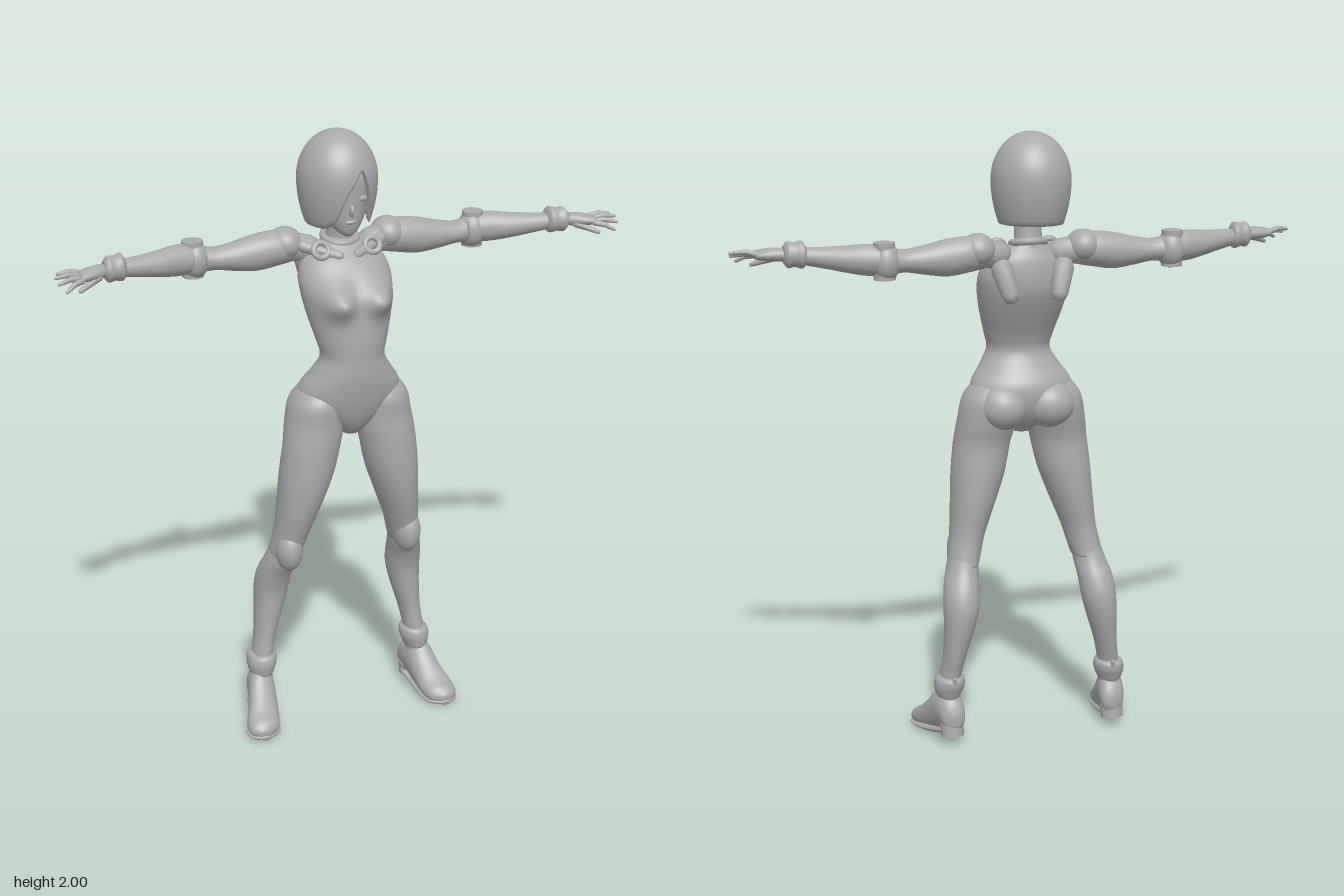
import * as THREE from 'three';

const grey = new THREE.MeshStandardMaterial({ color: 0xaaaaaa });
grey.name = 'plain grey';
grey.side = THREE.DoubleSide;

// Turns all faces outward by checking the signed volume
function orient(geo) {
  const p = geo.attributes.position, idx = geo.index.array;
  const a = new THREE.Vector3(), b = new THREE.Vector3(), c = new THREE.Vector3();
  geo.computeBoundingBox();
  const mid = geo.boundingBox.getCenter(new THREE.Vector3());
  let vol = 0;
  for (let i = 0; i < idx.length; i += 3) {
    a.fromBufferAttribute(p, idx[i]).sub(mid);
    b.fromBufferAttribute(p, idx[i + 1]).sub(mid);
    c.fromBufferAttribute(p, idx[i + 2]).sub(mid);
    vol += a.dot(b.cross(c));
  }
  if (vol < 0) for (let i = 0; i < idx.length; i += 3) [idx[i], idx[i + 1]] = [idx[i + 1], idx[i]];
  return geo;
}

// Builds a closed-around grid from point(u, v), with optional end caps
function grid(point, rows, segs, caps) {
  const pos = [], idx = [];
  for (let j = 0; j <= rows; j++)
    for (let i = 0; i < segs; i++) pos.push(...point(i / segs, j / rows));
  for (let j = 0; j < rows; j++)
    for (let i = 0; i < segs; i++) {
      const k = (i + 1) % segs, a = j * segs, b = a + segs;
      idx.push(a + i, b + i, a + k, a + k, b + i, b + k);
    }
  if (caps) for (const j of [0, rows]) {
    const m = pos.length / 3, sum = [0, 0, 0], o = j * segs;
    for (let i = 0; i < segs; i++) for (let d = 0; d < 3; d++) sum[d] += pos[(o + i) * 3 + d] / segs;
    pos.push(...sum);
    for (let i = 0; i < segs; i++) {
      const k = (i + 1) % segs;
      if (j) idx.push(o + i, m, o + k); else idx.push(o + i, o + k, m);
    }
  }
  const geo = new THREE.BufferGeometry();
  geo.setAttribute('position', new THREE.Float32BufferAttribute(pos, 3));
  geo.setIndex(idx);
  orient(geo).computeVertexNormals();
  return geo;
}

// Smooth loft of elliptical rings [x, y, z, r1, r2] across the given axis
function loft(axis, rings, segs = 28, warp) {
  const mids = new THREE.CatmullRomCurve3(rings.map(r => new THREE.Vector3(r[0], r[1], r[2])), false, 'catmullrom');
  const radii = new THREE.CatmullRomCurve3(rings.map(r => new THREE.Vector3(r[3], r[4], 0)), false, 'catmullrom');
  return grid((u, v) => {
    const c = mids.getPoint(v), r = radii.getPoint(v);
    const p = Math.cos(u * 2 * Math.PI) * r.x, q = Math.sin(u * 2 * Math.PI) * r.y;
    if (axis === 'x') { c.y += p; c.z += q; }
    if (axis === 'y') { c.x += p; c.z += q; }
    if (axis === 'z') { c.x += p; c.y += q; }
    if (warp) warp(c);
    return c.toArray();
  }, (rings.length - 1) * 5, segs, true);
}

// Ring from height, half width, front z and back z
const band = ([y, w, f, b]) => [0, y, (f + b) / 2, w, (f - b) / 2];
const ball = (x, y, z, rx, ry, rz) => new THREE.SphereGeometry(1, 28, 20).scale(rx, ry, rz).translate(x, y, z);

// Tapered rod with rounded ends
function rod(a, b, r1, r2) {
  const A = new THREE.Vector3(...a), B = new THREE.Vector3(...b), d = B.clone().sub(A), L = d.length();
  const pts = [[0, -r1], [r1 * .7, -r1 * .7], [r1, 0], [r2, L], [r2 * .7, L + r2 * .7], [0, L + r2]];
  const geo = new THREE.LatheGeometry(pts.map(p => new THREE.Vector2(...p)), 14);
  geo.applyQuaternion(new THREE.Quaternion().setFromUnitVectors(new THREE.Vector3(0, 1, 0), d.normalize()));
  return geo.translate(...a);
}

export function createModel() {
  const model = new THREE.Group();
  model.name = 'figure';
  const add = (name, geo, dx = -.005) => {
    const m = new THREE.Mesh(geo.translate(dx, 0, 0), grey);
    m.name = name;
    model.add(m);
  };
  // Adds the left part and its mirror; the stance drifts slightly sideways toward the feet
  const pair = (name, geo) => {
    for (const s of [1, -1]) {
      const g = geo.clone();
      if (s < 0) orient(g.scale(-1, 1, 1));
      const p = g.attributes.position;
      for (let i = 0; i < p.count; i++) p.setX(i, p.getX(i) - .015 * Math.max(0, 1 - p.getY(i)));
      add((s > 0 ? 'left ' : 'right ') + name, g);
    }
  };

  // Torso with bust swelling
  add('torso', loft('y', [
    [1.66, .05, -.01, -.09], [1.63, .09, .02, -.1], [1.6, .13, .055, -.11], [1.55, .15, .095, -.115],
    [1.5, .148, .128, -.11], [1.45, .14, .14, -.09], [1.4, .128, .148, -.065], [1.35, .114, .152, -.04],
    [1.3, .104, .152, -.028], [1.25, .13, .152, -.05], [1.2, .164, .145, -.08], [1.15, .168, .135, -.085],
    [1.1, .125, .12, -.07], [1.06, .07, .1, -.04], [1.03, .03, .075, 0],
  ].map(band), 56, p => {
    if (p.z > .01) p.z += .056 * Math.min(1, (p.z - .01) / .06) *
      Math.exp(-(((Math.abs(p.x) - .07) / .048) ** 2) - ((p.y - 1.495) / .05) ** 2);
  }));
  pair('buttock', ball(.078, 1.125, -.025, .085, .078, .083));
  pair('shoulder blade', rod([.1, 1.58, -.1], [.08, 1.5, -.125], .035, .027));

  // Neck and collar
  add('neck', loft('y', [[0, 1.6, -.055, .055, .05], [0, 1.66, -.05, .045, .043], [0, 1.74, -.04, .043, .043]]));
  add('collar', new THREE.TorusGeometry(.052, .012, 10, 32).rotateX(Math.PI / 2 + .2).translate(0, 1.655, -.052));
  pair('collar ring', new THREE.TorusGeometry(.024, .01, 10, 24).rotateX(-.5).translate(.085, 1.635, .015));
  pair('collarbone', rod([.03, 1.615, .03], [.13, 1.64, -.03], .016, .02));

  // Head and face
  add('face', loft('y', [
    [1.685, .012, .06, .035], [1.7, .034, .07, 0], [1.73, .06, .077, -.06], [1.77, .075, .08, -.09],
    [1.82, .085, .083, -.1], [1.88, .085, .078, -.1], [1.93, .05, .035, -.08],
  ].map(band)), -.014);
  add('nose', ball(0, 1.772, .079, .009, .02, .017), -.014);
  add('lips', ball(0, 1.734, .073, .02, .008, .01), -.014);
  for (const s of [1, -1]) add('eye', ball(s * .036, 1.805, .066, .02, .011, .012), -.014);

  // Bob hair with a side parting; the hem height follows the angle from the front
  const hem = [[-3.2, 1.715], [-.75, 1.71], [-.4, 1.73], [-.1, 1.82], [.32, 1.9], [.55, 1.82], [.8, 1.715], [3.2, 1.715]];
  const hemAt = t => {
    const k = hem.findIndex(h => h[0] >= t), [a, ya] = hem[k - 1], [b, yb] = hem[k];
    return ya + (yb - ya) * (t - a) / (b - a);
  };
  const hairAt = (t, y, size) => {
    const r = y > 1.85 ? Math.sqrt(Math.max(0, 1 - ((y - 1.85) / .15) ** 2)) : 1 - .2 * ((1.85 - y) / .14) ** 2;
    return [Math.sin(t) * r * .126 * size, y, -.038 + Math.cos(t) * r * .133 * size];
  };
  add('hair', grid((u, v) => {
    const t = (u - .5) * 2 * Math.PI, inner = v > .75;
    const drop = inner ? 1 - (v - .75) * 1.2 : 1 - Math.cos(v / .75 * Math.PI / 2);
    return hairAt(t, 2 - (2 - hemAt(t)) * drop, inner ? .9 : 1);
  }, 32, 72, false), -.018);

  // Shoulders and arms
  pair('shoulder cap', ball(.172, 1.642, -.078, .055, .052, .062));
  pair('shoulder joint', rod([.1, 1.62, -.06], [.15, 1.63, -.075], .045, .045));
  pair('upper arm', loft('x', [
    [.15, 1.628, -.075, .045, .045], [.2, 1.63, -.077, .056, .056], [.27, 1.622, -.077, .058, .055],
    [.34, 1.618, -.075, .046, .048], [.4, 1.618, -.075, .036, .043], [.44, 1.62, -.078, .04, .043],
  ]));
  pair('elbow joint', ball(.465, 1.618, -.083, .045, .06, .052));
  pair('elbow disc', new THREE.CylinderGeometry(.034, .034, .115, 28).translate(.47, 1.622, -.085));
  pair('forearm', loft('x', [
    [.47, 1.625, -.08, .045, .045], [.52, 1.626, -.072, .049, .047], [.58, 1.628, -.055, .042, .045],
    [.65, 1.633, -.035, .033, .036], [.73, 1.64, -.015, .025, .027],
  ]));
  pair('wrist cuff', loft('x', [
    [.7, 1.64, -.02, .028, .03], [.712, 1.643, -.018, .043, .04], [.735, 1.643, -.013, .038, .037],
    [.755, 1.643, -.009, .041, .038], [.768, 1.643, -.006, .026, .028],
  ]));

  // Hands
  pair('palm', loft('x', [
    [.75, 1.642, -.008, .018, .02], [.785, 1.643, .004, .021, .03], [.82, 1.642, .016, .019, .036],
    [.85, 1.641, .026, .013, .034],
  ]));
  const tips = [[.912, 1.652, .012], [.923, 1.647, .035], [.918, 1.635, .062], [.9, 1.616, .083]];
  tips.forEach((tip, i) => {
    const z = .001 + i * .017, knuckle = [.845, 1.645 - i * .003, z];
    const bend = [(knuckle[0] + tip[0]) / 2, (knuckle[1] + tip[1]) / 2 + .006, (knuckle[2] + tip[2]) / 2];
    pair('finger ' + (i + 1) + ' base', rod(knuckle, bend, .0095, .0085));
    pair('finger ' + (i + 1) + ' tip', rod(bend, tip, .0085, .005));
  });
  pair('thumb', rod([.79, 1.632, .022], [.855, 1.607, .06], .013, .007));

  // Legs
  pair('thigh', loft('y', [
    [.1, 1.205, .025, .055, .06], [.108, 1.15, .024, .088, .098], [.115, 1.08, .026, .097, .098],
    [.13, 1, .038, .094, .092], [.147, .9, .036, .088, .094], [.168, .8, .031, .073, .088],
    [.191, .7, .022, .058, .072], [.207, .63, .008, .054, .066], [.212, .6, -.005, .048, .06],
  ]));
  pair('shin', loft('y', [
    [.205, .66, .01, .045, .055], [.218, .59, -.008, .053, .063], [.23, .53, -.038, .058, .065],
    [.236, .47, -.055, .058, .064], [.245, .4, -.056, .05, .06], [.262, .3, -.047, .037, .051],
    [.277, .21, -.032, .035, .046], [.282, .1, -.025, .036, .048],
  ]));
  pair('knee pad', ball(.208, .638, .042, .045, .076, .058));

  // Boots
  pair('ankle cuff', loft('y', [
    [.274, .232, -.036, .036, .046], [.276, .222, -.036, .047, .058], [.278, .2, -.033, .05, .06],
    [.28, .178, -.03, .045, .055], [.281, .16, -.028, .038, .05],
  ]));
  pair('cuff tab', rod([.274, .205, -.08], [.273, .237, -.094], .012, .006));
  pair('boot', loft('z', [
    [.273, .09, -.097, .015, .02], [.276, .095, -.083, .036, .048], [.281, .11, -.05, .045, .068],
    [.29, .1, 0, .047, .08], [.301, .068, .05, .051, .06], [.315, .042, .1, .056, .042],
    [.322, .032, .14, .047, .03], [.326, .028, .162, .015, .012],
  ], 28, p => { p.y = Math.max(p.y, .012); }));
  pair('sole', loft('z', [
    [.276, .05, -.09, .02, .008], [.281, .045, -.05, .042, .012], [.292, .028, 0, .042, .014],
    [.303, .018, .05, .05, .016], [.316, .014, .1, .058, .014], [.322, .013, .14, .05, .012],
    [.326, .014, .164, .015, .008],
  ]));
  pair('heel', new THREE.CylinderGeometry(.04, .037, .045, 24).scale(1, 1, .95)
    .rotateX(.2).translate(.279, .05, -.06));
  return model;
}
